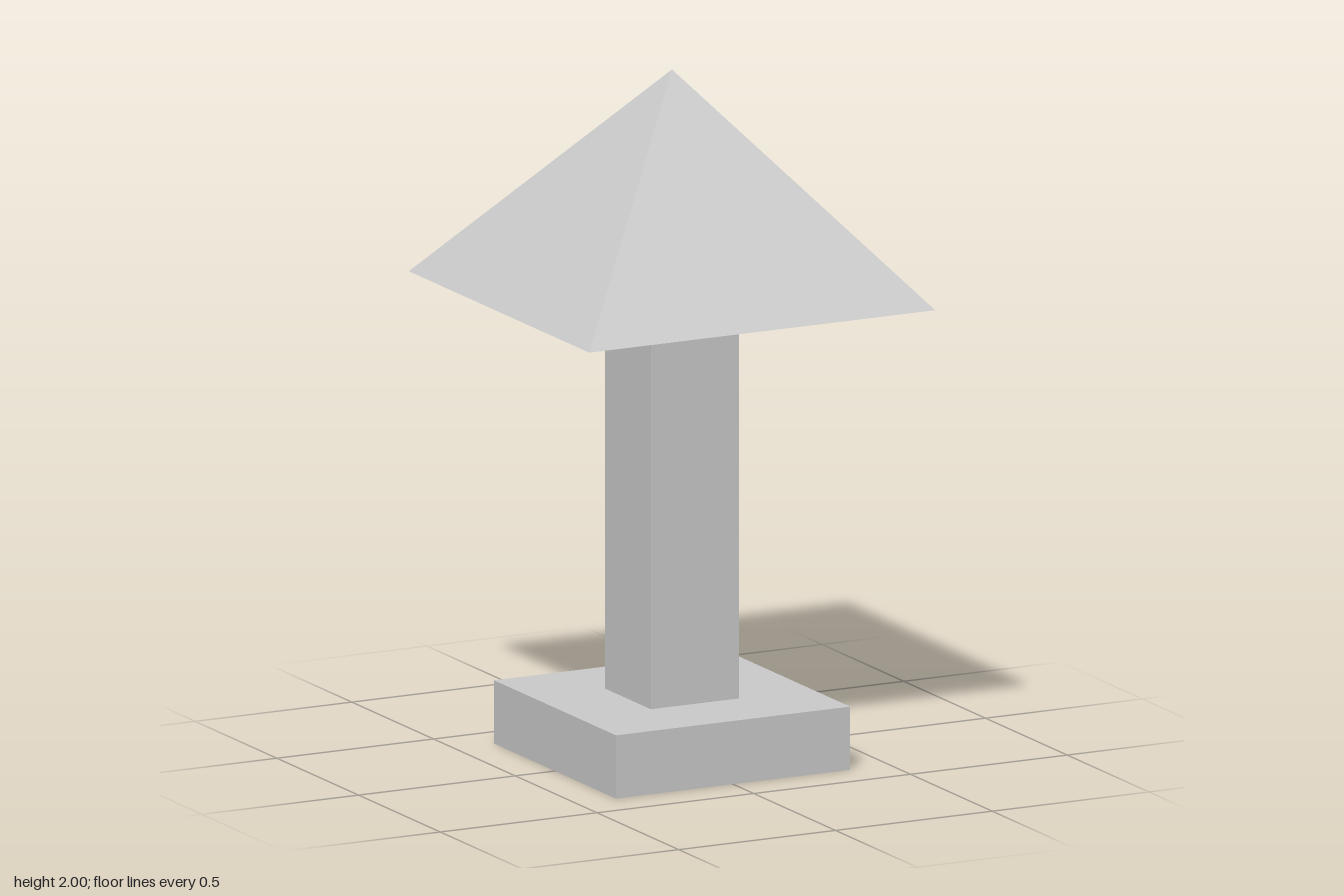
import * as THREE from 'three';

export function createModel() {
  const group = new THREE.Group();
  const material = new THREE.MeshStandardMaterial({ color: 0xcccccc, flatShading: true });

  // Adds a part whose underside sits at the given height
  const addPart = (name, geometry, bottom, height) => {
    const mesh = new THREE.Mesh(geometry, material);
    mesh.name = name;
    mesh.position.y = bottom + height / 2;
    group.add(mesh);
  };

  const baseTop = 0.184, roofBottom = 1.356, top = 2;
  const columnHeight = roofBottom - baseTop;
  const roofHeight = top - roofBottom;

  // Square plinth and column
  addPart('base', new THREE.BoxGeometry(0.747, baseTop, 0.747), 0, baseTop);
  addPart('column', new THREE.BoxGeometry(0.282, columnHeight, 0.282), baseTop, columnHeight);

  // Four-sided pyramid roof, turned so its edges run along x and z
  const roof = new THREE.ConeGeometry(0.552 * Math.SQRT2, roofHeight, 4).rotateY(Math.PI / 4);
  addPart('roof', roof, roofBottom, roofHeight);

  return group;
}
